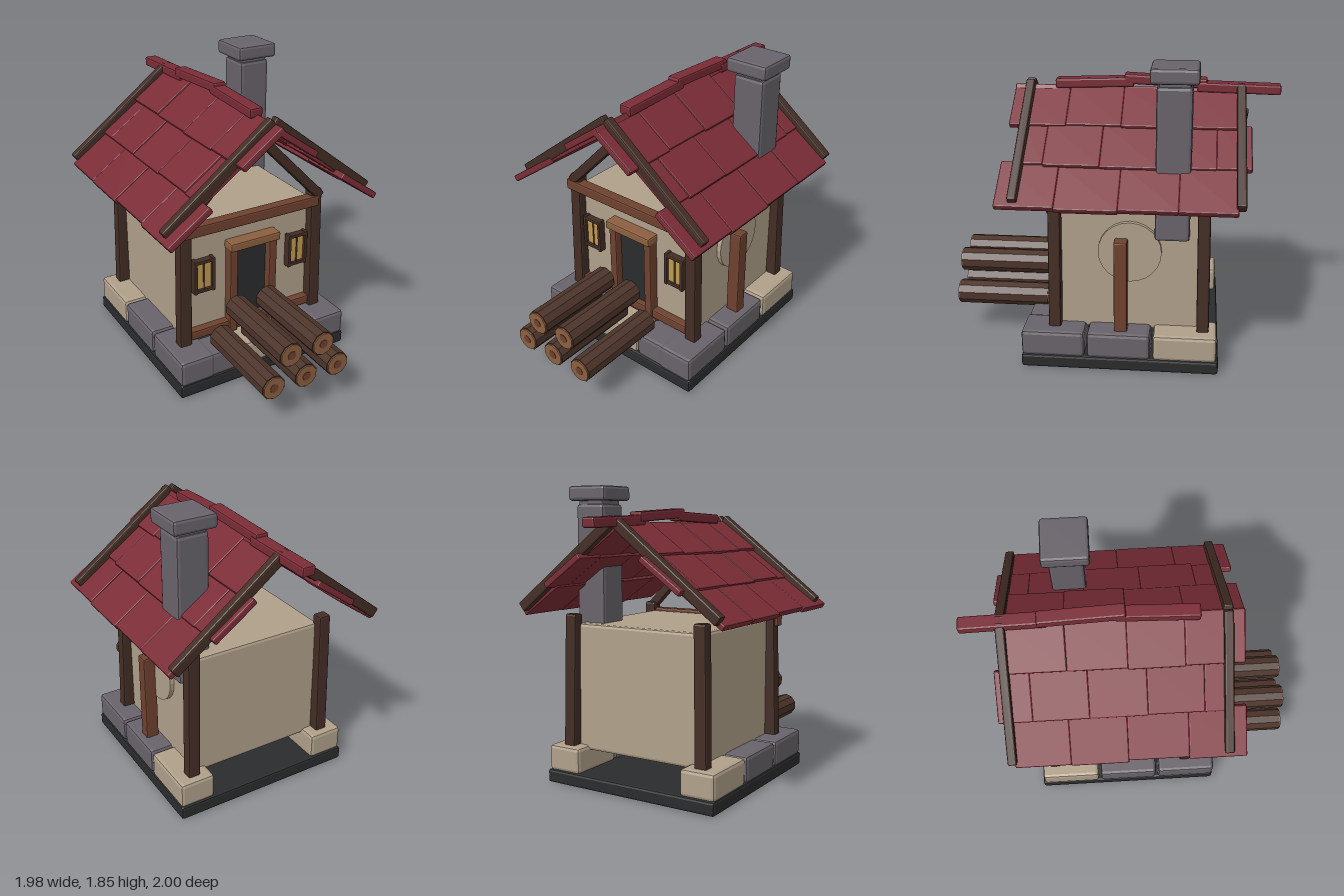
import * as THREE from 'three';
import { RoundedBoxGeometry } from 'three/addons/geometries/RoundedBoxGeometry.js';

const mat = (name, color, opts = {}) => {
  const m = new THREE.MeshStandardMaterial({ color, ...opts });
  m.name = name;
  return m;
};

export function createModel() {
  const M = {
    roof: mat('roofRed', 0x7a2c36),
    timber: mat('darkTimber', 0x432d25),
    beam: mat('reddishWood', 0x6e412f),
    pale: mat('paleWood', 0x8c5f3f),
    plaster: mat('plaster', 0xb0a08a),
    stone: mat('stone', 0x68636a),
    coal: mat('charcoal', 0x2a2b2c),
    glass: mat('goldGlass', 0xbf9a50),
    bark: mat('bark', 0x4c342a),
  };

  const root = new THREE.Group();
  root.name = 'cottage';
  const house = new THREE.Group(); // built square on, then turned to the corner
  house.name = 'house';
  house.rotation.y = Math.PI / 4;
  root.add(house);

  let seed = 7;
  const rnd = () => ((seed = (seed * 16807) % 2147483647) / 2147483647 - 0.5);

  const add = (name, geo, material, x, y, z, parent = house) => {
    const m = new THREE.Mesh(geo, material);
    m.name = name;
    m.position.set(x, y, z);
    parent.add(m);
    return m;
  };
  // faceted box with chamfered edges
  const box = (name, material, w, h, d, x, y, z, bevel = 0.01, parent = house) => {
    const g = new RoundedBoxGeometry(w, h, d, 1, bevel);
    g.computeVertexNormals();
    return add(name, g, material, x, y, z, parent);
  };
  // faceted cylinder lying along z
  const rod = (name, material, r, len, sides, x, y, z, parent = house) => {
    const g = new THREE.CylinderGeometry(r, r, len, sides).rotateX(Math.PI / 2).toNonIndexed();
    g.computeVertexNormals();
    return add(name, g, material, x, y, z, parent);
  };
  // bar in the xy plane between two points
  const bar = (name, material, x1, y1, x2, y2, z, thick, depth) => {
    const len = Math.hypot(x2 - x1, y2 - y1);
    const m = box(name, material, len, thick, depth, (x1 + x2) / 2, (y1 + y2) / 2, z, 0.01);
    m.rotation.z = Math.atan2(y2 - y1, x2 - x1);
    return m;
  };

  // ground slab and foundation stones
  box('groundSlab', M.coal, 1.2, 0.085, 1.2, 0, 0.0425, -0.005, 0.015);
  for (const s of [-1, 1]) {
    [-0.4, 0, 0.4].forEach((z, i) =>
      box('sideStone', i === 0 ? M.plaster : M.stone, 0.23, 0.165, 0.385, s * 0.48, 0.16, z, 0.022));
    box('frontStone', M.stone, 0.36, 0.16, 0.2, s * 0.36, 0.157, 0.485, 0.022);
  }
  box('frontStone', M.plaster, 0.35, 0.155, 0.2, 0, 0.155, 0.485, 0.022);

  // wall block
  box('walls', M.plaster, 0.89, 0.8, 0.85, 0, 0.61, -0.055, 0.02);

  // corner posts, leaning slightly inward
  for (const s of [-1, 1]) {
    for (const z of [0.39, -0.5]) {
      const p = box('cornerPost', M.timber, 0.08, 0.84, 0.075, s * 0.467, 0.65, z, 0.012);
      p.rotation.z = s * 0.02;
      p.rotation.x = z > 0 ? -0.015 : 0.015;
    }
    // front truss
    bar('trussRafter', M.timber, s * 0.49, 1.02, 0, 1.52, 0.4, 0.06, 0.06);
  }
  box('tieBeam', M.beam, 0.99, 0.07, 0.07, -0.025, 0.995, 0.4);
  box('sillBeam', M.beam, 0.87, 0.06, 0.06, 0, 0.285, 0.39);

  // door
  box('doorPanel', M.coal, 0.24, 0.58, 0.02, 0, 0.53, 0.373, 0.003);
  for (const s of [-1, 1]) box('doorJamb', M.beam, 0.055, 0.59, 0.075, s * 0.14, 0.53, 0.395);
  box('doorLintel', M.pale, 0.35, 0.055, 0.09, 0, 0.837, 0.41);

  // windows
  for (const s of [-1, 1]) {
    const w = new THREE.Group();
    w.name = 'window';
    w.position.set(s * 0.335, 0.68, 0.39);
    house.add(w);
    box('windowBack', M.timber, 0.12, 0.2, 0.03, 0, 0, -0.01, 0.004, w);
    for (const t of [-1, 1]) {
      box('windowPane', M.glass, 0.046, 0.17, 0.009, t * 0.026, 0, 0.009, 0.002, w);
      box('windowStile', M.timber, 0.022, 0.225, 0.05, t * 0.06, 0, 0.005, 0.005, w);
      box('windowRail', M.timber, 0.12, 0.022, 0.045, 0, t * 0.097, 0.005, 0.005, w);
    }
    box('windowMullion', M.timber, 0.012, 0.18, 0.02, 0, 0, 0.008, 0.003, w);
  }

  // round panel and prop on the left wall
  const disc = rod('roundPanel', M.plaster, 0.19, 0.03, 24, 0.458, 0.735, -0.06);
  disc.rotation.y = Math.PI / 2;
  box('wallProp', M.beam, 0.085, 0.59, 0.08, 0.505, 0.53, -0.01, 0.01);

  // chimney
  box('chimneyShaft', M.stone, 0.205, 0.92, 0.205, 0.39, 1.28, -0.31, 0.02);
  box('chimneyNeck', M.stone, 0.18, 0.08, 0.18, 0.39, 1.75, -0.31, 0.01);
  box('chimneyCap', M.stone, 0.275, 0.09, 0.275, 0.39, 1.803, -0.31, 0.018);

  // roof: three overlapping rows of wide tiles on each slope
  const pitch = Math.atan2(0.535, 0.68), rowLen = 0.288, ridgeY = 1.615;
  const rows = [
    { z0: -0.68, cuts: [0, 0.34, 0.69, 1.02, 1.36] },
    { z0: -0.755, cuts: [0, 0.2, 0.53, 0.87, 1.2, 1.36] },
    { z0: -0.68, cuts: [0, 0.33, 0.67, 1.03, 1.37] },
  ];
  for (const s of [-1, 1]) {
    rows.forEach(({ z0, cuts }, r) => {
      for (let i = 0; i + 1 < cuts.length; i++) {
        const t = (r + 0.5) * rowLen + rnd() * 0.015;
        const lift = rnd() * 0.01;
        const tile = box('roofTile', M.roof, rowLen + 0.03, 0.04, cuts[i + 1] - cuts[i] + 0.004,
          s * (t * Math.cos(pitch) + lift * Math.sin(pitch)),
          ridgeY - t * Math.sin(pitch) + lift * Math.cos(pitch),
          z0 + (cuts[i] + cuts[i + 1]) / 2, 0.009);
        tile.rotation.z = -s * (pitch - 0.05);
      }
    });
    // verge boards
    for (const z of [0.585, -0.695])
      bar('vergeBoard', M.timber, s * 0.685, 1.115, 0, 1.645, z, 0.065, 0.055);
  }
  // uneven ridge boards
  [[-0.68, 0.5, 1.635, 0.03], [-0.24, 0.5, 1.672, 0.06], [0.19, 0.48, 1.655, -0.05]].forEach(([z, len, y, tilt]) => {
    const b = box('ridgeBoard', M.roof, 0.085, 0.06, len, 0, y, z, 0.012);
    b.rotation.x = -tilt * 0.8;
    b.rotation.y = tilt * 0.3;
  });

  // log pile
  const logs = [[-0.27, 0.28], [-0.05, 0.28], [0.17, 0.28], [-0.16, 0.46], [0.057, 0.46]];
  for (const [x, y] of logs) {
    const log = new THREE.Group();
    log.name = 'log';
    log.position.set(x, y, 0.78);
    house.add(log);
    rod('logBark', M.bark, 0.077, 0.58, 10, 0, 0, 0, log);
    for (const s of [-1, 1]) {
      rod('logEnd', M.pale, 0.07, 0.02, 10, 0, 0, s * 0.288, log);
      rod('logHeart', M.beam, 0.028, 0.008, 8, 0, 0, s * 0.297, log);
    }
  }
  return root;
}
